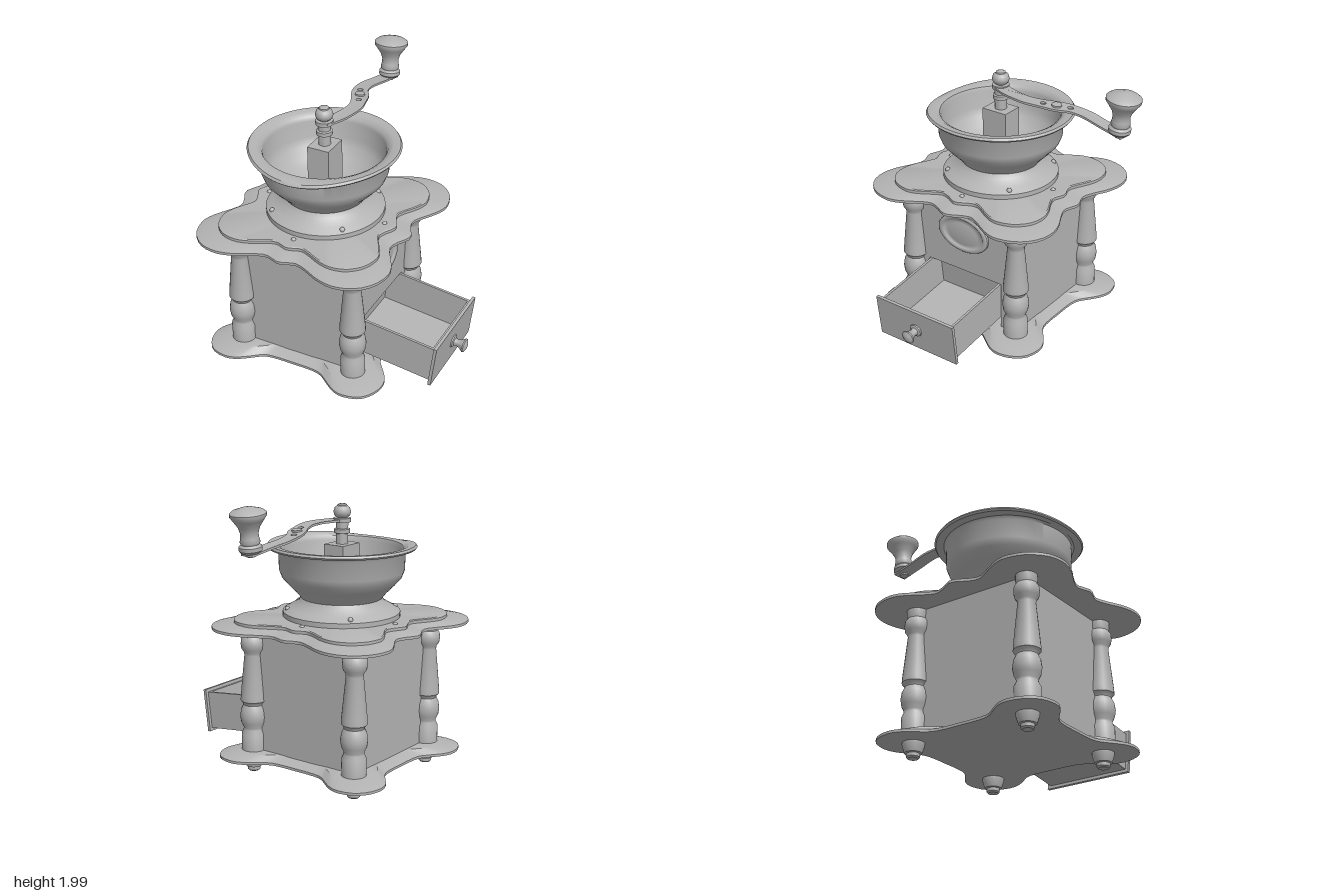
import * as THREE from 'three';
import { toCreasedNormals } from 'three/addons/utils/BufferGeometryUtils.js';

const grey = new THREE.MeshStandardMaterial({ color: 0xb3b3b3 });
grey.name = 'grey';

function add(parent, name, geo, x = 0, y = 0, z = 0) {
  const mesh = new THREE.Mesh(geo, grey);
  mesh.name = name;
  mesh.position.set(x, y, z);
  parent.add(mesh);
  return mesh;
}

const box = (w, h, d) => new THREE.BoxGeometry(w, h, d);

// Turned shape from [radius, height] pairs, listed upwards along the outside
function turned(profile, sides = 32) {
  const pts = profile.map(([r, y]) => new THREE.Vector2(r, y));
  return toCreasedNormals(new THREE.LatheGeometry(pts, sides), 0.65);
}

// Closed outline mirrored from one quadrant of [x, z] points
function mirroredOutline(quadrant) {
  const pts = [];
  for (const [x, z] of quadrant)
    for (const sx of x ? [1, -1] : [1])
      for (const sz of z ? [1, -1] : [1]) pts.push(new THREE.Vector3(x * sx, 0, z * sz));
  pts.sort((a, b) => Math.atan2(a.x, a.z) - Math.atan2(b.x, b.z));
  return new THREE.CatmullRomCurve3(pts, true, 'centripetal').getPoints(128).slice(0, -1);
}

// Plate made of scaled copies of an outline, given as [scale, height] sections
function plate(outline, sections) {
  const n = outline.length, pos = [], index = [];
  for (const [s, y] of sections) for (const p of outline) pos.push(p.x * s, y, p.z * s);
  for (let k = 0; k < sections.length - 1; k++)
    for (let i = 0; i < n; i++) {
      const a = k * n + i, b = k * n + (i + 1) % n;
      index.push(a, b, a + n, b, b + n, a + n);
    }
  const geo = new THREE.BufferGeometry();
  geo.setAttribute('position', new THREE.Float32BufferAttribute(pos, 3));
  geo.setIndex(index);
  return toCreasedNormals(geo, 0.5);
}

// Funnel bowl with a flared foot; the rim dips to a lip at the front
function bowlGeometry() {
  const profile = [
    [0.41, 1.11], [0.41, 1.15], [0.36, 1.18], [0.3, 1.215], [0.283, 1.245], [0.315, 1.285],
    [0.37, 1.34], [0.415, 1.39], [0.435, 1.44], [0.44, 1.57], [0.455, 1.592], [0.51, 1.597],
    [0.52, 1.61], [0.51, 1.625], [0.46, 1.62], [0.425, 1.6], [0.415, 1.57], [0.41, 1.45],
    [0.385, 1.39], [0.33, 1.33], [0.25, 1.27], [0.195, 1.25], [0.175, 1.235], [0, 1.235]];
  const geo = new THREE.LatheGeometry(profile.map(([r, y]) => new THREE.Vector2(r, y)), 64);
  const p = geo.attributes.position;
  for (let i = 0; i < p.count; i++) {
    const r = Math.hypot(p.getX(i), p.getZ(i));
    if (p.getY(i) < 1.58 || r < 0.42) continue;
    const front = Math.max(0, p.getZ(i) / r) ** 4;
    p.setY(i, p.getY(i) - 0.04 * front * (r - 0.42) / 0.1);
  }
  return toCreasedNormals(geo, 0.8);
}

// Curved flat crank arm with two holes, bent downwards towards its end
const armHeight = z => 1.775 - 0.095 * Math.max(0, -z / 0.82) ** 1.5;

function armGeometry() {
  const path = new THREE.CatmullRomCurve3([
    [-0.2, 0.2], [-0.137, 0.05], [-0.117, -0.1], [-0.146, -0.215], [-0.18, -0.3],
    [-0.22, -0.385], [-0.234, -0.5], [-0.21, -0.66], [-0.19, -0.83],
  ].map(([x, z]) => new THREE.Vector3(x, -z, 0)));
  const left = [], right = [], steps = 48;
  for (let i = 0; i <= steps; i++) {
    const c = path.getPointAt(i / steps), t = path.getTangentAt(i / steps);
    const w = 0.05 + 0.012 * Math.exp(-(((c.y - 0.3) / 0.08) ** 2));
    left.push(new THREE.Vector2(c.x - t.y * w, c.y + t.x * w));
    right.unshift(new THREE.Vector2(c.x + t.y * w, c.y - t.x * w));
  }
  const shape = new THREE.Shape([...left, ...right]);
  for (const [x, z] of [[-0.146, -0.215], [-0.22, -0.385]])
    shape.holes.push(new THREE.Path().absarc(x, -z, 0.02, 0, Math.PI * 2));
  const geo = new THREE.ExtrudeGeometry(shape, { depth: 0.015, bevelEnabled: false, curveSegments: 8 });
  geo.rotateX(-Math.PI / 2);
  const p = geo.attributes.position;
  for (let i = 0; i < p.count; i++) p.setY(i, p.getY(i) + armHeight(p.getZ(i)));
  return toCreasedNormals(geo, 0.5);
}

export function createModel() {
  const model = new THREE.Group();
  model.name = 'coffeeMill';

  // The mill stands off centre because the drawer and crank reach out
  const mill = new THREE.Group();
  mill.name = 'mill';
  mill.position.set(-0.2, 0, 0.178);
  model.add(mill);

  // Base plate with rounded corner lobes
  const baseOutline = mirroredOutline([
    [0.52, 0], [0.52, 0.12], [0.535, 0.22], [0.6, 0.31], [0.65, 0.385], [0.667, 0.46], [0.645, 0.56],
    [0.58, 0.64], [0.46, 0.67], [0.385, 0.65], [0.31, 0.6], [0.22, 0.535], [0.12, 0.52], [0, 0.52]]);
  add(mill, 'basePlate', plate(baseOutline, [[0, 0.105], [1, 0.105], [1, 0.123], [0.83, 0.16], [0, 0.16]]));

  // Scalloped top plate and the smaller plate on it
  const topOutline = mirroredOutline([
    [0.645, 0], [0.595, 0.11], [0.58, 0.18], [0.655, 0.32], [0.69, 0.39], [0.705, 0.47], [0.665, 0.61],
    [0.56, 0.71], [0.43, 0.738], [0.31, 0.71], [0.2, 0.655], [0.11, 0.625], [0, 0.66]]);
  add(mill, 'topPlate', plate(topOutline, [[0, 1.047], [1, 1.047], [1, 1.066], [0.88, 1.09], [0, 1.09]]));
  add(mill, 'upperPlate', plate(topOutline, [[0, 1.085], [0.83, 1.085], [0.83, 1.11], [0.815, 1.116], [0, 1.116]]));

  // Hollow case, open on the right for the drawer
  const hx = 0.435, hz = 0.44, t = 0.02, bottom = 0.14, top = 1.06;
  const h = top - bottom, mid = (top + bottom) / 2;
  for (const s of [1, -1]) {
    add(mill, 'caseWall', box(hx * 2, h, t), 0, mid, s * (hz - t / 2));
    add(mill, 'caseDrawerSide', box(t, 0.37, hz - 0.32), hx - t / 2, 0.325, s * (hz + 0.32) / 2);
  }
  add(mill, 'caseEndWall', box(t, h, hz * 2), -hx + t / 2, mid, 0);
  add(mill, 'casePanel', box(t, top - 0.51, hz * 2), hx - t / 2, (top + 0.51) / 2, 0);

  // Oval badge with a raised rim
  const badge = turned([[1, 0], [1, 0.016], [0.95, 0.024], [0.8, 0.018], [0.76, 0.01], [0.6, 0.016], [0, 0.02]], 48);
  badge.scale(0.14, 1, 0.215).rotateZ(-Math.PI / 2);
  add(mill, 'ovalBadge', badge, hx, 0.815, 0);

  // Turned corner columns and feet
  const column = turned([
    [0.085, 0.13], [0.085, 0.28], [0.07, 0.31], [0.07, 0.325], [0.087, 0.36], [0.094, 0.405], [0.087, 0.455],
    [0.07, 0.49], [0.075, 0.505], [0.09, 0.52], [0.088, 0.56], [0.06, 0.85], [0.062, 0.87], [0.08, 0.895],
    [0.085, 0.93], [0.082, 0.965], [0.068, 0.985], [0.072, 1.01], [0.072, 1.05]], 24);
  const foot = turned([[0, 0.003], [0.035, 0], [0.045, 0.01], [0.045, 0.032], [0.058, 0.036], [0.075, 0.09], [0.075, 0.11]], 24);
  for (const sx of [1, -1]) for (const sz of [1, -1]) {
    add(mill, 'column', column, sx * 0.435, 0, sz * 0.447);
    add(mill, 'foot', foot, sx * 0.435, 0, sz * 0.447);
  }

  // Bowl, with rivets on its foot and on the upper plate
  add(mill, 'bowl', bowlGeometry());
  const rivet = new THREE.SphereGeometry(0.018, 12, 8);
  for (let i = 0; i < 4; i++) {
    const a = i * Math.PI / 2, b = a + Math.PI / 4;
    add(mill, 'plateRivet', rivet, Math.sin(a) * 0.45, 1.112, Math.cos(a) * 0.45);
    add(mill, 'bowlRivet', rivet, Math.sin(b) * 0.38, 1.168, Math.cos(b) * 0.38);
  }

  // Grinder block, shaft with collar, and ball nut
  add(mill, 'grinderBlock', box(0.16, 0.39, 0.195), 0, 1.425, 0);
  add(mill, 'shaft', turned([
    [0.042, 1.6], [0.042, 1.69], [0.055, 1.695], [0.055, 1.722], [0.042, 1.727], [0.042, 1.768], [0.06, 1.77],
    [0.06, 1.798], [0.035, 1.8], [0.053, 1.815], [0.061, 1.84], [0.053, 1.868], [0.035, 1.882],
    [0.033, 1.89], [0.02, 1.896], [0, 1.897]]));

  // Crank arm, hinge boss and handle
  add(model, 'crankArm', armGeometry());
  const boss = add(model, 'hingeBoss', new THREE.CylinderGeometry(0.035, 0.035, 0.035, 24), -0.18, armHeight(-0.3) + 0.008, -0.3);
  boss.rotation.x = -0.1;
  const handle = add(model, 'crankHandle', turned([
    [0, -0.012], [0.03, -0.012], [0.03, 0], [0.062, 0.015], [0.075, 0.03], [0.075, 0.055], [0.06, 0.07], [0.066, 0.085],
    [0.06, 0.11], [0.058, 0.14], [0.07, 0.18], [0.1, 0.225], [0.118, 0.25], [0.119, 0.27],
    [0.1, 0.285], [0.06, 0.298], [0.03, 0.307], [0, 0.31]]), -0.19, armHeight(-0.79), -0.785);
  handle.rotation.x = -0.1;

  // Half-open drawer, tilted downwards
  const drawer = new THREE.Group();
  drawer.name = 'drawer';
  drawer.position.set(0.31, 0.36, 0.178);
  drawer.rotation.z = -0.12;
  model.add(drawer);
  add(drawer, 'drawerFloor', box(0.66, 0.015, 0.62), 0.13, -0.13, 0);
  for (const s of [1, -1]) add(drawer, 'drawerSide', box(0.66, 0.272, 0.018), 0.13, 0, s * 0.303);
  add(drawer, 'drawerBack', box(0.018, 0.272, 0.6), -0.19, 0, 0);
  add(drawer, 'drawerInnerFront', box(0.018, 0.272, 0.6), 0.451, 0, 0);
  add(drawer, 'drawerFront', box(0.022, 0.318, 0.67), 0.471, 0, 0);
  const knob = turned([
    [0.05, 0], [0.045, 0.01], [0.028, 0.016], [0.024, 0.035], [0.032, 0.06], [0.05, 0.085],
    [0.048, 0.093], [0.025, 0.105], [0, 0.11]], 24);
  add(drawer, 'drawerKnob', knob.rotateZ(-Math.PI / 2), 0.48, 0, 0);

  return model;
}
